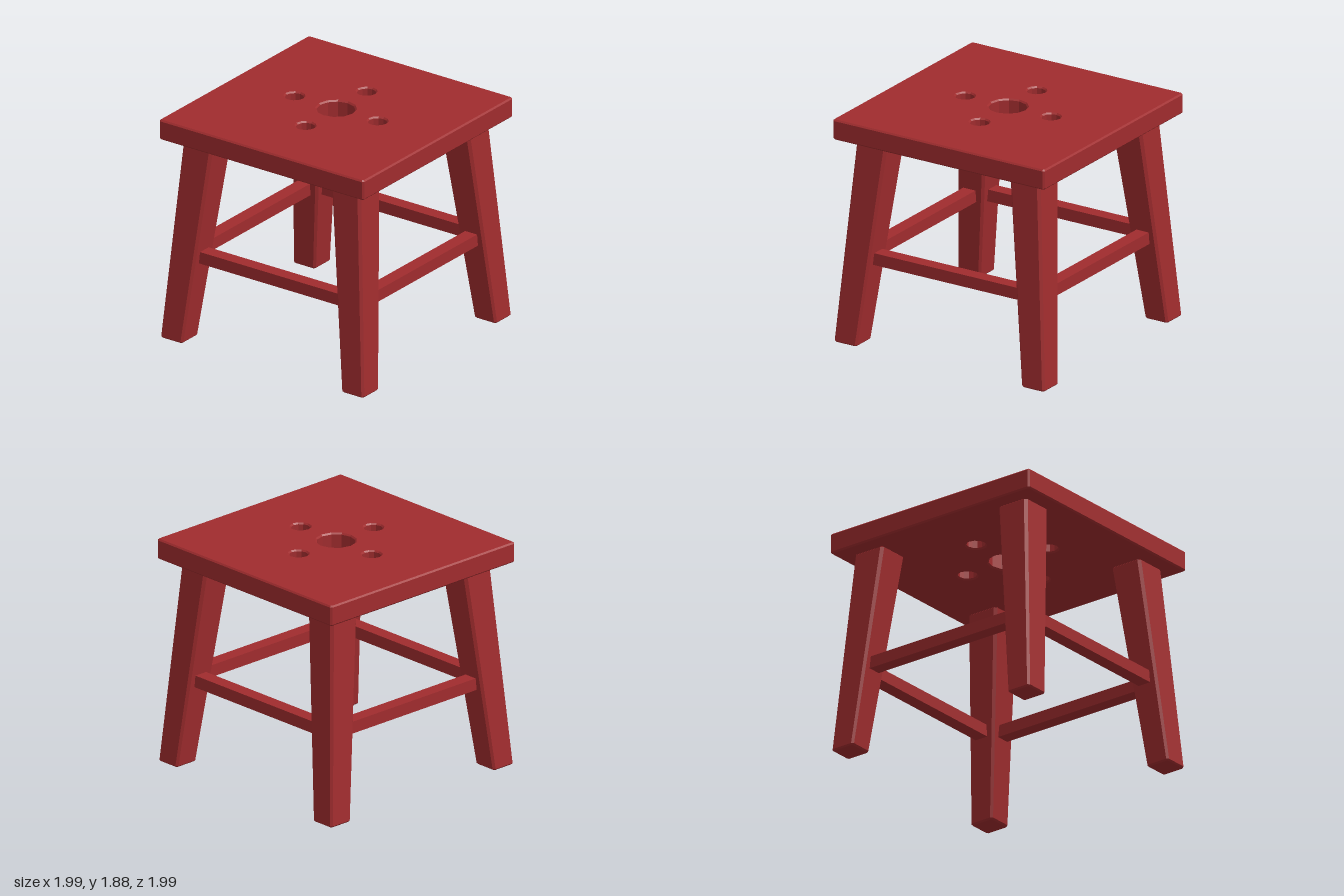
import * as THREE from 'three';

const BEVEL = 0.012;

// Square with small chamfered corners
function chamferedSquare(half, c) {
  const pts = [];
  for (const [sx, sy] of [[1, -1], [1, 1], [-1, 1], [-1, -1]]) {
    const a = new THREE.Vector2(sx * half, sy * (half - c));
    const b = new THREE.Vector2(sx * (half - c), sy * half);
    pts.push(...(sx * sy < 0 ? [b, a] : [a, b]));
  }
  return new THREE.Shape(pts);
}

// Twelve-sided hole
function hole(x, y, r) {
  const pts = [];
  for (let i = 0; i < 12; i++) {
    const a = -i * Math.PI / 6;
    pts.push(new THREE.Vector2(x + r * Math.cos(a), y + r * Math.sin(a)));
  }
  return new THREE.Path(pts);
}

// Bevelled upright block standing on y = 0
function block(shape, height) {
  const geo = new THREE.ExtrudeGeometry(shape, {
    depth: height - 2 * BEVEL, bevelEnabled: true,
    bevelSize: BEVEL, bevelThickness: BEVEL, bevelSegments: 1,
  });
  return geo.translate(0, 0, BEVEL).rotateX(-Math.PI / 2);
}

export function createModel() {
  const model = new THREE.Group();
  model.name = 'stool';
  const paint = new THREE.MeshStandardMaterial({ color: 0xa02c2e });
  paint.name = 'red paint';

  const add = (name, geo, turn = 0) => {
    const mesh = new THREE.Mesh(geo, paint);
    mesh.name = name;
    mesh.rotation.y = turn;
    model.add(mesh);
    return mesh;
  };

  // Seat with one large and four small holes
  const top = chamferedSquare(0.997 - BEVEL, 0.008);
  top.holes.push(hole(0, 0, 0.166));
  for (const [x, y] of [[1, 0], [-1, 0], [0, 1], [0, -1]]) {
    top.holes.push(hole(x * 0.405, y * 0.405, 0.088));
  }
  add('seat', block(top, 0.17)).position.y = 1.71;

  // Leg: widens upwards and leans in towards the seat
  const H = 1.715;
  const leg = block(chamferedSquare(0.1075 - BEVEL, 0.01), H);
  const p = leg.attributes.position;
  for (let i = 0; i < p.count; i++) {
    const t = p.getY(i) / H;
    const scale = 1 + 0.326 * t;
    const centre = 0.8825 - 0.165 * t;
    p.setX(i, p.getX(i) * scale + centre);
    p.setZ(i, p.getZ(i) * scale + centre);
  }
  leg.computeVertexNormals();

  // Rail between two neighbouring legs
  const rail = new THREE.BoxGeometry(1.46, 0.1, 0.115).translate(0, 0.725, 0.815);

  const legs = ['frontLeftLeg', 'backLeftLeg', 'backRightLeg', 'frontRightLeg'];
  const rails = ['frontRail', 'leftRail', 'backRail', 'rightRail'];
  for (let i = 0; i < 4; i++) {
    add(legs[i], leg, i * Math.PI / 2);
    add(rails[i], rail, i * Math.PI / 2);
  }
  return model;
}
